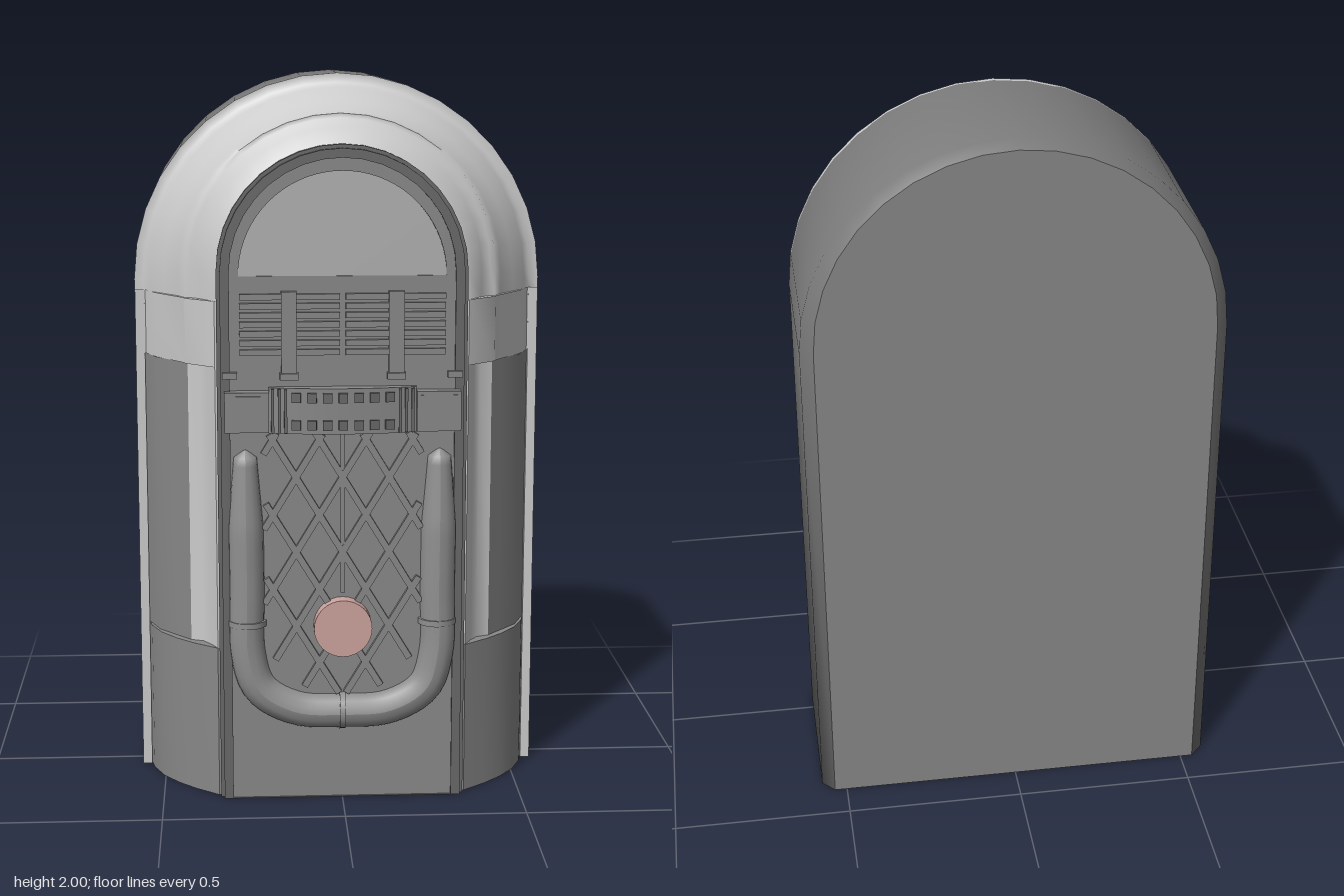
import * as THREE from 'three';
import { toCreasedNormals } from 'three/addons/utils/BufferGeometryUtils.js';

const paint = color => new THREE.MeshStandardMaterial({ color });
const light = paint(0xcccccc);
const dark = paint(0x888888);
const shellDark = paint(0x7a7a7a);
const rimDark = paint(0x686868);
const tubeGrey = paint(0x909090);
const glass = paint(0xa8a8a8);
const rose = paint(0xcda49e);

// Arch outline of half width r and given top, standing on y = base
function archPoints(r, top, base, n = 18) {
  const pts = [new THREE.Vector2(r, base)];
  for (let i = 0; i <= n; i++) {
    const a = (Math.PI * i) / n;
    pts.push(new THREE.Vector2(r * Math.cos(a), top - r + r * Math.sin(a)));
  }
  pts.push(new THREE.Vector2(-r, base));
  return pts;
}

// Closed tube through arch sections [r, top, z], listed front to back
function archLoft(sections, base, crease) {
  const pos = [], idx = [];
  const rings = sections.map(([r, top]) => archPoints(r, top, base));
  const n = rings[0].length;
  rings.forEach((ring, s) => ring.forEach(p => pos.push(p.x, p.y, sections[s][2])));
  for (let s = 0; s < rings.length - 1; s++) {
    for (let i = 0; i < n; i++) {
      const j = (i + 1) % n, a = s * n + i, b = s * n + j;
      idx.push(a, a + n, b, b, a + n, b + n);
    }
  }
  const g = new THREE.BufferGeometry();
  g.setAttribute('position', new THREE.Float32BufferAttribute(pos, 3));
  g.setIndex(idx);
  return toCreasedNormals(g, crease);
}

// Upright block from the right half of a plan outline [x, z], mirrored
function planBlock(half, y0, y1) {
  const pts = [...half, ...half.slice().reverse().map(([x, z]) => [-x, z])];
  const shape = new THREE.Shape(pts.map(([x, z]) => new THREE.Vector2(x, -z)));
  const g = new THREE.ExtrudeGeometry(shape, { depth: y1 - y0, bevelEnabled: false });
  g.rotateX(-Math.PI / 2).translate(0, y0, 0);
  return toCreasedNormals(g, 0.6);
}

export function createModel() {
  const root = new THREE.Group();
  const add = (name, geometry, material = dark, parent = root) => {
    const m = new THREE.Mesh(geometry, material);
    m.name = name;
    parent.add(m);
    return m;
  };
  const group = name => {
    const g = new THREE.Group();
    g.name = name;
    root.add(g);
    return g;
  };
  const box = (name, w, h, d, x, y, z, parent = root, material = dark) => {
    const m = add(name, new THREE.BoxGeometry(w, h, d), material, parent);
    m.position.set(x, y, z);
    return m;
  };

  // Softly shaded cabinet shell, closed by a flat back
  add('cabinet', archLoft([[0.57, 2, 0.045], [0.57, 2, -0.365], [0.535, 1.98, -0.4]], 0, 1.7), shellDark);
  const back = add('cabinetBack', new THREE.ShapeGeometry(new THREE.Shape(archPoints(0.535, 1.98, 0))));
  back.rotation.y = Math.PI;
  back.position.z = -0.4;

  // Stepped dome with its flange, the flange running down both sides
  add('dome', archLoft([
    [0.3, 1.77, 0.32], [0.345, 1.815, 0.32], [0.385, 1.86, 0.26], [0.412, 1.885, 0.235],
    [0.425, 1.897, 0.235], [0.445, 1.905, 0.195], [0.485, 1.93, 0.145], [0.525, 1.962, 0.095],
    [0.545, 1.975, 0.055], [0.57, 2, 0.055], [0.57, 2, 0.04],
  ], 1.4, 1.3), light);
  for (const s of [-1, 1]) box('flange', 0.026, 1.4, 0.025, s * 0.556, 0.7, 0.048, root, light);

  // Side columns with bright inner strips, collar and plinth
  add('columns', planBlock([[0.545, 0.04], [0.51, 0.13], [0.45, 0.2], [0.42, 0.235]], 0.43, 1.22));
  add('columnStrips', planBlock([[0.42, 0.2], [0.42, 0.235], [0.385, 0.25], [0.365, 0.28],
    [0.345, 0.32]], 0.43, 1.22), light);
  add('collar', planBlock([[0.566, 0.04], [0.566, 0.06], [0.54, 0.06], [0.51, 0.125],
    [0.43, 0.235], [0.425, 0.25], [0.345, 0.32]], 1.22, 1.4), light);
  add('plinth', planBlock([[0.545, 0.04], [0.535, 0.09], [0.505, 0.16], [0.46, 0.22],
    [0.41, 0.27], [0.345, 0.322]], 0, 0.43));

  // Front panel in layers, the window cut through each
  const windowHole = new THREE.Path();
  windowHole.moveTo(0.28, 1.47);
  windowHole.absarc(0, 1.47, 0.28, 0, Math.PI, false);
  windowHole.closePath();
  const panelLayer = (name, r, top, z0, z1, hole, material) => {
    const shape = new THREE.Shape(archPoints(r, top, 0));
    shape.holes.push(hole);
    const g = new THREE.ExtrudeGeometry(shape, { depth: z1 - z0, bevelEnabled: false, curveSegments: 18 });
    add(name, toCreasedNormals(g.translate(0, 0, z0), 0.5), material);
  };
  panelLayer('panelBack', 0.34, 1.82, 0.3, 0.335, windowHole, rimDark);
  panelLayer('panelFront', 0.322, 1.802, 0.335, 0.345, windowHole, dark);
  const rim = new THREE.Path(archPoints(0.305, 1.785, 0.001));
  panelLayer('panelRim', 0.33, 1.81, 0.335, 0.352, rim, rimDark);

  // Window pane leaning back
  const pane = add('windowPane', new THREE.CircleGeometry(0.285, 32, 0, Math.PI), glass);
  pane.position.set(0, 1.468, 0.343);
  pane.rotation.x = -0.08;

  // Slatted grille with two brackets
  const grille = group('grille');
  for (const s of [-1, 1]) {
    for (let i = 0; i < 7; i++) box('slat', 0.27, 0.016, 0.014, s * 0.143, 1.265 + i * 0.025, 0.35, grille);
    box('bracket', 0.042, 0.24, 0.025, s * 0.145, 1.31, 0.352, grille);
    box('bracketFoot', 0.05, 0.018, 0.03, s * 0.145, 1.2, 0.355, grille);
    box('clip', 0.04, 0.018, 0.02, s * 0.305, 1.202, 0.35, grille);
  }

  // Bowed selector panel with buttons and side boxes
  const selector = group('selector');
  const bow = x => 0.386 - 0.65 * x * x;
  const plan = [];
  for (let i = 0; i <= 8; i++) plan.push([i * 0.025, bow(i * 0.025)]);
  add('selectorPanel', planBlock([...plan, [0.2, 0.335]], 1.045, 1.17), dark, selector);
  for (let i = 0; i < 7; i++) {
    const x = -0.126 + i * 0.042;
    for (const y of [1.07, 1.145]) {
      box('button', 0.025, 0.026, 0.018, x, y, bow(x), selector, rimDark).rotation.y = 1.3 * x;
    }
  }
  for (const s of [-1, 1]) {
    for (const x of [0.155, 0.172, 0.19]) box('rib', 0.008, 0.12, 0.016, s * x, 1.107, bow(x), selector, rimDark);
    box('sideBox', 0.12, 0.11, 0.045, s * 0.26, 1.105, 0.358, selector);
    box('sideBoxFace', 0.1, 0.09, 0.012, s * 0.26, 1.105, 0.378, selector);
  }

  // Diamond lattice, each bar clipped to the speaker opening
  const lattice = group('lattice');
  const slope = 1.65, halfW = 0.215;
  const inside = (x, y) => y < 1.045 && y > 0.3 + Math.max(0, Math.abs(x) - 0.08) * 0.9;
  for (const s of [-1, 1]) {
    for (let c = 0.08; c < 1.4; c += 0.21) {
      let first = null, end = null;
      for (let x = -halfW; x <= halfW; x += 0.005) {
        if (!inside(x, c + slope * x)) continue;
        first ??= x;
        end = x;
      }
      if (first === null || end - first < 0.03) continue;
      const mid = (first + end) / 2;
      const bar = box('bar', (end - first) * Math.hypot(1, slope), 0.018, 0.016,
        s * mid, c + slope * mid, 0.35, lattice);
      bar.rotation.z = s * Math.atan(slope);
    }
  }
  box('centreBar', 0.012, 0.45, 0.014, 0, 0.82, 0.349, lattice);

  // U-shaped tube with tapered tips
  const right = [[0.265, 1], [0.265, 0.85], [0.263, 0.6], [0.261, 0.42], [0.228, 0.32], [0.13, 0.262]];
  const left = right.slice().reverse().map(([x, y]) => [-x, y]);
  const path = new THREE.CatmullRomCurve3([...right, [0, 0.253], ...left]
    .map(([x, y]) => new THREE.Vector3(x, y, 0.34)));
  const rings = 80, sides = 16;
  const tube = new THREE.TubeGeometry(path, rings, 0.049, sides, false);
  const p = tube.attributes.position, v = new THREE.Vector3();
  for (let i = 0; i <= rings; i++) {
    const centre = path.getPointAt(i / rings);
    const e = Math.min(i, rings - i);
    const f = e === 0 ? 0 : Math.min(1, 0.62 + e * 0.04);
    for (let j = 0; j <= sides; j++) {
      const k = i * (sides + 1) + j;
      v.fromBufferAttribute(p, k).sub(centre).multiplyScalar(f).add(centre);
      p.setXYZ(k, v.x, v.y, v.z);
    }
  }
  tube.computeVertexNormals();
  add('tube', tube, tubeGrey);

  // Bands around the tube
  for (const [x, y, turn] of [[0, 0.253, true], [0.262, 0.51, false], [-0.262, 0.51, false]]) {
    const band = add('tubeBand', new THREE.CylinderGeometry(0.053, 0.053, 0.016, 20), tubeGrey);
    band.position.set(x, y, 0.34);
    if (turn) band.rotation.z = Math.PI / 2;
  }

  // Round badge on the lattice
  const disc = add('badge', new THREE.CylinderGeometry(0.08, 0.08, 0.045, 32), rose);
  disc.rotation.x = Math.PI / 2;
  disc.position.set(0, 0.5, 0.365);

  return root;
}
